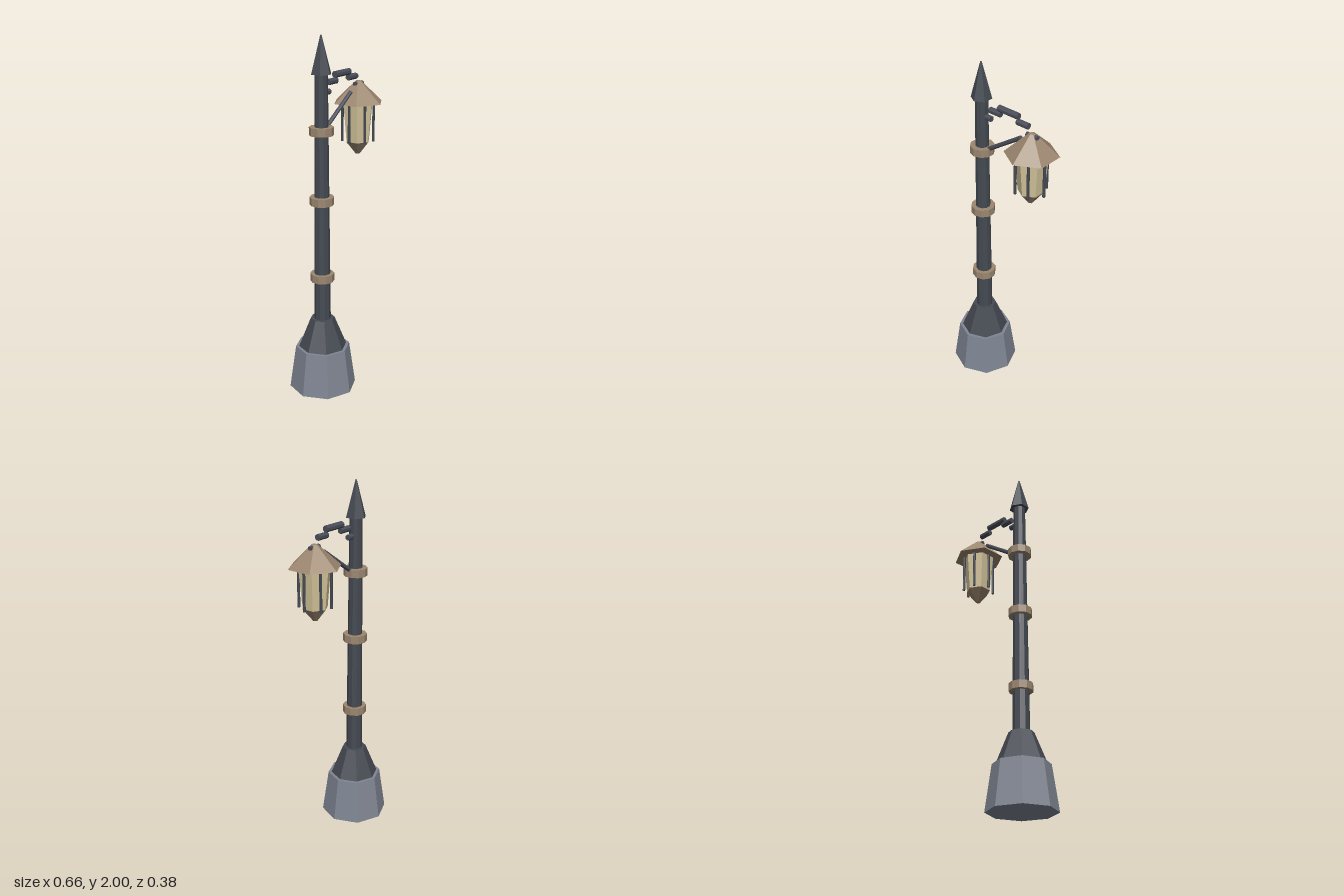
import * as THREE from 'three';

const mat = (name, color) => {
  const m = new THREE.MeshStandardMaterial({ color, flatShading: true });
  m.name = name;
  return m;
};

export function createModel() {
  const stone = mat('grey stone', 0x7f8592);
  const iron = mat('dark iron', 0x454a52);
  const armIron = mat('arm iron', 0x4a4e59);
  const bronze = mat('bronze', 0x9c8770);
  const glass = mat('warm glass', 0xd4c59b);

  const lamp = new THREE.Group();
  lamp.name = 'streetLamp';
  const postX = -0.14, lanternX = 0.203;

  // Upright tapered prism between two heights
  const prism = (parent, name, rBottom, rTop, y0, y1, sides, material, x = 0, z = 0) => {
    const mesh = new THREE.Mesh(new THREE.CylinderGeometry(rTop, rBottom, y1 - y0, sides), material);
    mesh.position.set(x, (y0 + y1) / 2, z);
    mesh.name = name;
    parent.add(mesh);
    return mesh;
  };

  // Rod between two points in the plane of the arm
  const rod = (parent, name, x0, y0, x1, y1, r) => {
    const a = new THREE.Vector3(x0, y0, 0), b = new THREE.Vector3(x1, y1, 0);
    const mesh = new THREE.Mesh(new THREE.CylinderGeometry(r, r, a.distanceTo(b), 8, 1, false, Math.PI / 8), armIron);
    mesh.position.copy(a).lerp(b, 0.5);
    mesh.quaternion.setFromUnitVectors(new THREE.Vector3(0, 1, 0), b.sub(a).normalize());
    mesh.name = name;
    parent.add(mesh);
  };

  // Post with its plinth, collars and spear tip
  const post = new THREE.Group();
  post.name = 'post';
  post.position.x = postX;
  lamp.add(post);
  prism(post, 'plinth', 0.19, 0.154, 0, 0.25, 8, stone);
  prism(post, 'plinthCone', 0.136, 0.068, 0.25, 0.42, 8, iron);
  prism(post, 'shaft', 0.047, 0.035, 0.42, 1.8, 10, iron);
  prism(post, 'spearTip', 0.057, 0.004, 1.8, 2, 6, iron);
  for (const y of [0.67, 1.115, 1.5]) prism(post, 'collar', 0.067, 0.067, y - 0.022, y + 0.022, 10, bronze);

  // Stepped arm and diagonal brace
  const arm = new THREE.Group();
  arm.name = 'arm';
  lamp.add(arm);
  rod(arm, 'armRoot', -0.14, 1.7, -0.07, 1.7, 0.016);
  rod(arm, 'armStep', -0.08, 1.75, -0.005, 1.75, 0.017);
  rod(arm, 'armCrest', -0.02, 1.782, 0.115, 1.782, 0.018);
  rod(arm, 'armStep', 0.105, 1.75, 0.18, 1.75, 0.017);
  rod(arm, 'armHook', 0.168, 1.704, 0.24, 1.704, 0.013);
  rod(arm, 'brace', -0.12, 1.495, 0.13, 1.667, 0.012);

  // Lantern
  const lantern = new THREE.Group();
  lantern.name = 'lantern';
  lantern.position.x = lanternX;
  lamp.add(lantern);
  prism(lantern, 'roof', 0.146, 0.016, 1.6, 1.72, 6, bronze);
  prism(lantern, 'glass', 0.07, 0.09, 1.38, 1.6, 6, glass);
  prism(lantern, 'bottomCap', 0.013, 0.071, 1.308, 1.38, 6, bronze);
  for (let i = 0; i < 6; i++) {
    const a = i * Math.PI / 3;
    prism(lantern, 'cageBar', 0.008, 0.008, 1.378, 1.602, 6, iron, 0.087 * Math.cos(a), 0.087 * Math.sin(a));
  }

  return lamp;
}
